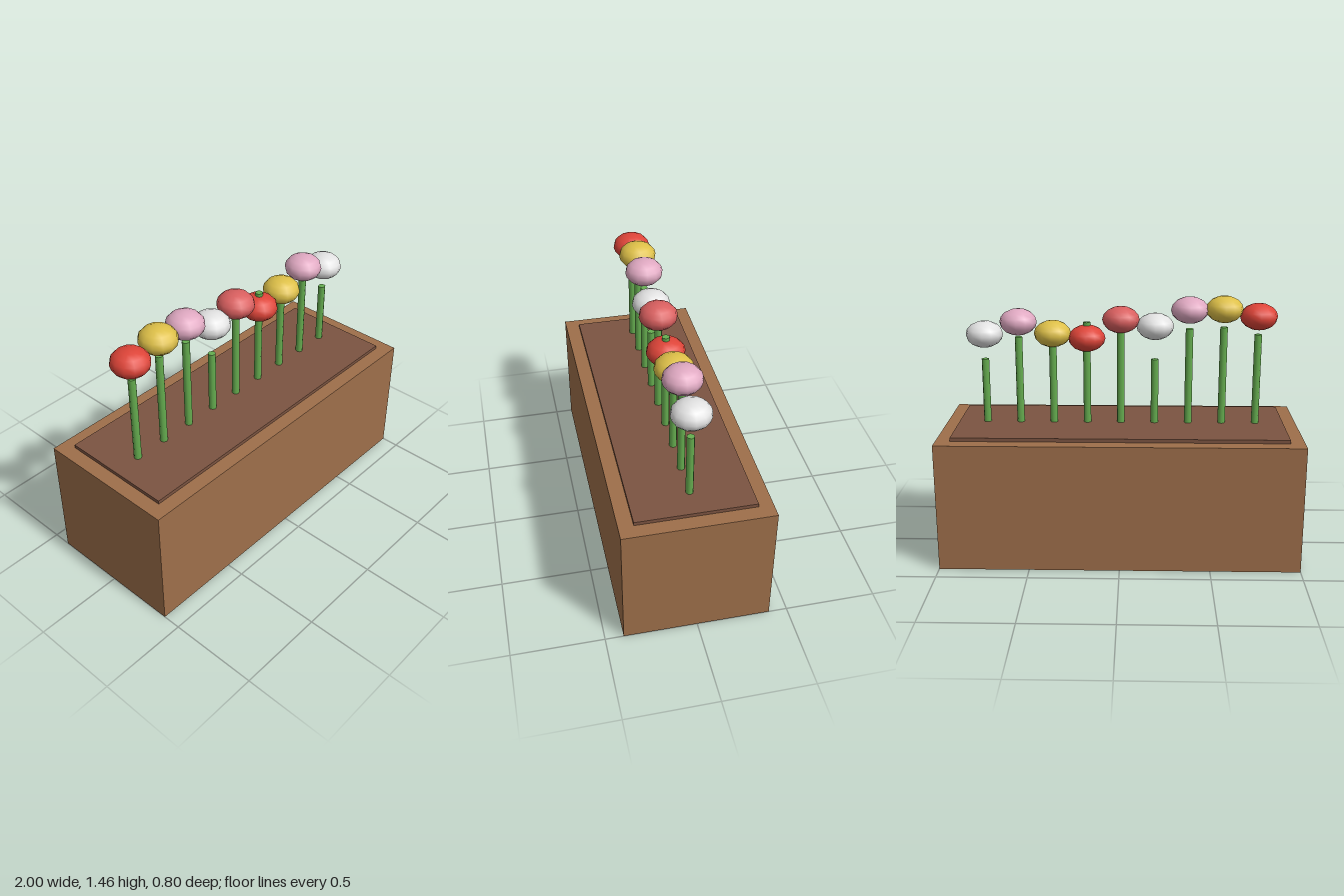
import * as THREE from 'three';

const paint = (name, color) => {
  const m = new THREE.MeshStandardMaterial({ color });
  m.name = name;
  return m;
};

export function createModel() {
  const group = new THREE.Group();
  group.name = 'flowerPlanter';

  const wood = paint('wood', 0x9e6f4a);
  const soil = paint('soil', 0x7c5441);
  const green = paint('stemGreen', 0x66ae50);
  const red = paint('red', 0xde4438);
  const yellow = paint('yellow', 0xdec048);
  const pink = paint('pink', 0xe0a9c2);
  const white = paint('white', 0xe2e2e2);
  const coral = paint('coral', 0xd95f5f);

  const add = (name, geometry, material, x, y, z) => {
    const mesh = new THREE.Mesh(geometry, material);
    mesh.name = name;
    mesh.position.set(x, y, z);
    group.add(mesh);
    return mesh;
  };

  // Wooden box with a thin slab of soil on top
  add('planterBox', new THREE.BoxGeometry(2, 0.72, 0.8), wood, 0, 0.36, 0);
  add('soil', new THREE.BoxGeometry(1.84, 0.04, 0.64), soil, 0, 0.72, 0);

  // Row of flowers: stem top, head centre, head colour
  const flowers = [
    [1.25, 1.35, red],
    [1.29, 1.39, yellow],
    [1.28, 1.385, pink],
    [1.107, 1.293, white],
    [1.28, 1.33, coral],
    [1.315, 1.225, red],
    [1.2, 1.25, yellow],
    [1.23, 1.315, pink],
    [1.105, 1.245, white],
  ];
  const headGeometry = new THREE.SphereGeometry(1, 12, 8);
  const base = 0.73;

  flowers.forEach(([stemTop, headY, color], i) => {
    const x = (i - 4) * 0.19;
    const height = stemTop - base;
    add('stem', new THREE.CylinderGeometry(0.021, 0.021, height, 8), green, x, base + height / 2, 0);
    add('flowerHead', headGeometry, color, x, headY, 0).scale.set(0.104, 0.074, 0.106);
  });

  return group;
}
